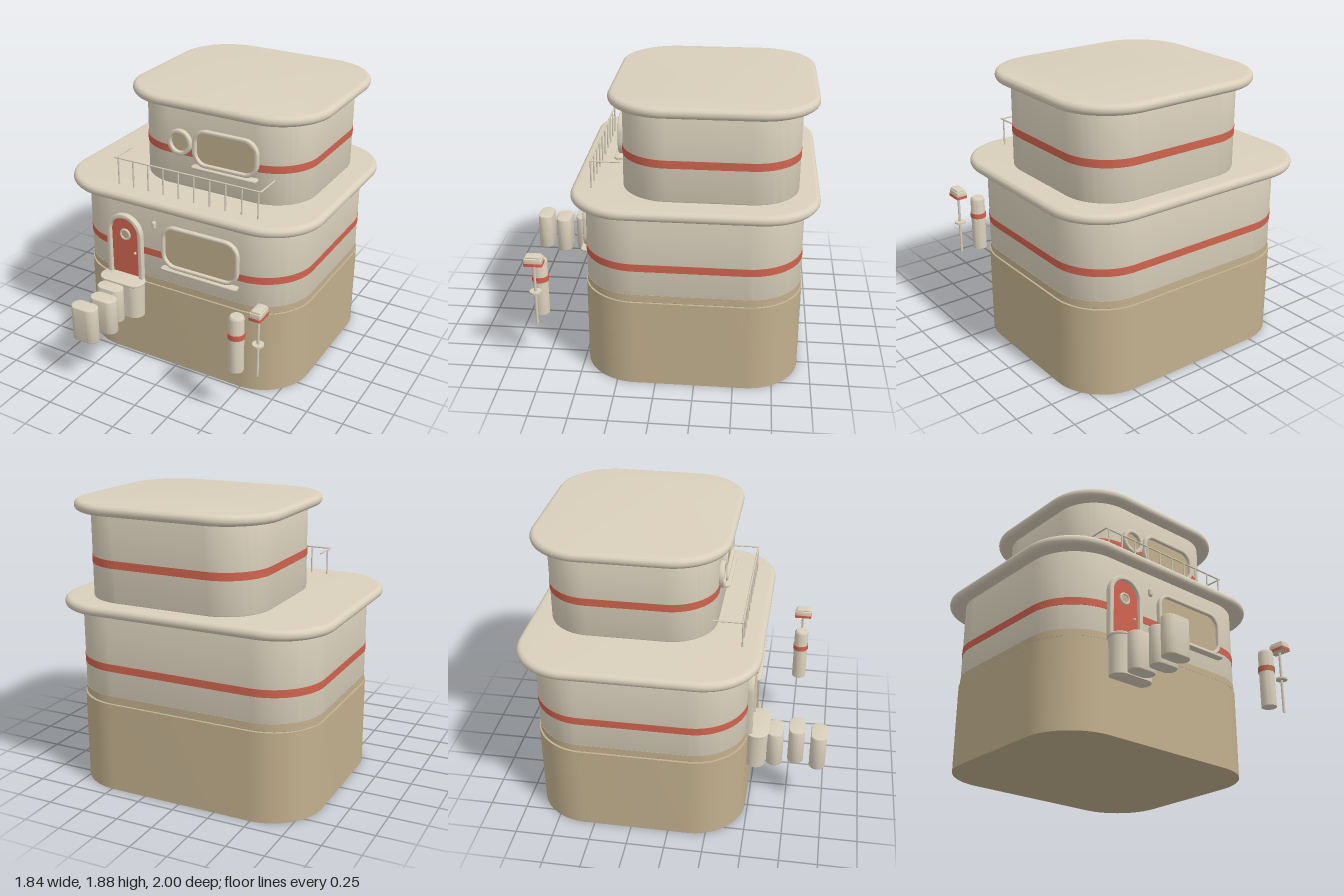
import * as THREE from 'three';
import { toCreasedNormals } from 'three/addons/utils/BufferGeometryUtils.js';

const mat = (name, color) => new THREE.MeshStandardMaterial({ name, color });

// Rounded rectangle outline between two corners
function roundRect(x0, y0, x1, y1, r, Type = THREE.Shape) {
  const s = new Type();
  s.moveTo(x0 + r, y0);
  s.lineTo(x1 - r, y0);
  s.absarc(x1 - r, y0 + r, r, -Math.PI / 2, 0);
  s.lineTo(x1, y1 - r);
  s.absarc(x1 - r, y1 - r, r, 0, Math.PI / 2);
  s.lineTo(x0 + r, y1);
  s.absarc(x0 + r, y1 - r, r, Math.PI / 2, Math.PI);
  s.lineTo(x0, y0 + r);
  s.absarc(x0 + r, y0 + r, r, Math.PI, Math.PI * 1.5);
  return s;
}

// Door outline: straight sides with a half-round head
function archShape(cx, y0, y1, r, Type = THREE.Shape) {
  const s = new Type();
  s.moveTo(cx - r, y0);
  s.lineTo(cx + r, y0);
  s.lineTo(cx + r, y1 - r);
  s.absarc(cx, y1 - r, r, 0, Math.PI);
  s.lineTo(cx - r, y0);
  return s;
}

// Extrusion from z0 to z1; the bevel stays inside the outline's depth range
function extrude(shape, z0, z1, bevel = 0, segments = 3, curveSegments = 12) {
  const g = new THREE.ExtrudeGeometry(shape, {
    depth: z1 - z0 - 2 * bevel, bevelEnabled: bevel > 0, bevelSize: bevel,
    bevelThickness: bevel, bevelOffset: -bevel, bevelSegments: segments, curveSegments,
  });
  g.translate(0, 0, z0 + bevel);
  return toCreasedNormals(g, 0.6);
}

// Upright block with a rounded plan; bounds are x0, x1, z0, z1
function block([x0, x1, z0, z1], r, y0, y1, bevel = 0, segments = 3) {
  return extrude(roundRect(x0, -z1, x1, -z0, r), y0, y1, bevel, segments).rotateX(-Math.PI / 2);
}

export function createModel() {
  const model = new THREE.Group();
  model.name = 'house';
  const cream = mat('cream plaster', 0xd9cfbb);
  const tan = mat('tan stone', 0xc2b08e);
  const red = mat('coral red', 0xd0644f);

  const add = (name, geometry, material, parent = model) => {
    const m = new THREE.Mesh(geometry, material);
    m.name = name;
    parent.add(m);
    return m;
  };
  const group = (name) => {
    const g = new THREE.Group();
    g.name = name;
    model.add(g);
    return g;
  };
  const grow = ([a, b, c, d], e) => [a - e, b + e, c - e, d + e];

  // Foundation and the two storeys with their painted bands
  const lower = [-0.832, 0.828, -0.91, 0.475];
  const upper = [-0.475, 0.745, -0.87, 0.235];
  add('foundation', block([-0.84, 0.835, -0.92, 0.482], 0.35, 0, 0.595), tan);
  add('lowerWalls', block(lower, 0.345, 0.595, 1.2, 0.01), cream);
  add('lowerPlinthBand', block(grow(lower, 0.002), 0.347, 0.605, 0.65), tan);
  add('lowerStripe', block(grow(lower, 0.003), 0.348, 0.815, 0.864), red);
  add('terraceSlab', block([-0.92, 0.916, -1, 0.555], 0.37, 1.19, 1.256, 0.032, 5), cream);
  add('upperWalls', block(upper, 0.3, 1.25, 1.82, 0.01), cream);
  add('upperStripe', block(grow(upper, 0.003), 0.303, 1.475, 1.525), red);
  add('roofSlab', block([-0.565, 0.836, -0.965, 0.32], 0.37, 1.81, 1.876, 0.032, 5), cream);

  // Rounded windows with frame, pane and sill
  function roundedWindow(name, x0, y0, x1, y1, z, r, t) {
    const g = group(name);
    const frame = roundRect(x0, y0, x1, y1, r);
    frame.holes.push(roundRect(x0 + t, y0 + t, x1 - t, y1 - t, r - t, THREE.Path));
    add('windowFrame', extrude(frame, z - 0.005, z + 0.03, 0.006), cream, g);
    add('windowPane', extrude(roundRect(x0 + t / 2, y0 + t / 2, x1 - t / 2, y1 - t / 2, r - t / 2),
      z, z + 0.006), tan, g);
    return g;
  }
  function sill(parent, x0, x1, y, z0, z1) {
    add('windowSill', block([x0, x1, z0, z1], 0.02, y - 0.008, y + 0.008, 0.004), cream, parent);
  }
  const w1 = roundedWindow('lowerWindow', -0.09, 0.77, 0.48, 1.08, 0.475, 0.1, 0.022);
  sill(w1, -0.09, 0.48, 0.763, 0.47, 0.527);
  const w2 = roundedWindow('upperWindow', 0.008, 1.425, 0.48, 1.683, 0.235, 0.1, 0.025);
  sill(w2, 0.008, 0.48, 1.421, 0.23, 0.288);
  roundedWindow('roundWindow', -0.179, 1.477, -0.003, 1.653, 0.235, 0.0879, 0.026);

  // Arched door with porthole and knob
  const door = group('door');
  const cx = -0.38;
  const doorFrame = archShape(cx, 0.605, 1.08, 0.137);
  doorFrame.holes.push(archShape(cx, 0.615, 1.052, 0.108, THREE.Path));
  add('doorFrame', extrude(doorFrame, 0.47, 0.512, 0.005), cream, door);
  add('doorLeaf', extrude(archShape(cx, 0.61, 1.06, 0.115), 0.475, 0.487), red, door);
  add('portholeRing', new THREE.TorusGeometry(0.034, 0.009, 10, 28), cream, door).position.set(cx, 0.927, 0.49);
  add('portholePane', new THREE.CylinderGeometry(0.03, 0.03, 0.008, 24).rotateX(Math.PI / 2), tan, door)
    .position.set(cx, 0.927, 0.488);
  add('doorKnob', new THREE.SphereGeometry(0.01, 12, 8), cream, door).position.set(-0.303, 0.804, 0.495);

  // Wall lamp beside the door
  add('wallLamp', new THREE.CapsuleGeometry(0.015, 0.03, 6, 14), cream).position.set(-0.152, 1.053, 0.485);

  // Terrace railing
  const railing = group('railing');
  const bar = (name, length, x, y, z, axis) => {
    const g = new THREE.CylinderGeometry(0.0055, 0.0055, length, 8);
    if (axis === 'x') g.rotateZ(Math.PI / 2);
    if (axis === 'z') g.rotateX(Math.PI / 2);
    add(name, g, cream, railing).position.set(x, y, z);
  };
  bar('frontRail', 1.07, 0.055, 1.44, 0.422, 'x');
  for (const x of [-0.478, 0.588]) bar('sideRail', 0.195, x, 1.44, 0.33, 'z');
  for (let i = 0; i < 10; i++) bar('railPost', 0.185, -0.457 + i * 0.1145, 1.347, 0.422, 'y');

  // Doorstep, tapering downward under a thin lip
  const steps = group('steps');
  const stepBody = block([-0.537, -0.218, 0.47, 0.615], 0.07, 0.36, 0.61);
  const p = stepBody.attributes.position;
  for (let i = 0; i < p.count; i++) {
    if (p.getY(i) < 0.4) {
      p.setX(i, -0.3775 + (p.getX(i) + 0.3775) * 0.95);
      p.setZ(i, 0.47 + (p.getZ(i) - 0.47) * 0.9);
    }
  }
  add('doorstep', stepBody, cream, steps);
  add('doorstepLip', block([-0.545, -0.21, 0.465, 0.62], 0.075, 0.607, 0.625, 0.006), cream, steps);

  // Stepping stones
  for (const [x, z] of [[-0.4, 0.66], [-0.355, 0.8], [-0.4, 0.947]])
    add('steppingStone', block([x - 0.094, x + 0.094, z - 0.053, z + 0.053], 0.0525, 0.36, 0.61, 0.006), cream, steps);

  // Banded bollard
  const bollard = group('bollard');
  bollard.position.set(0.62, 0, 0.77);
  const profile = [[0, 0.37], [0.05, 0.37], [0.05, 0.745], [0.047, 0.757], [0.038, 0.766], [0, 0.768]];
  add('bollardBody', toCreasedNormals(new THREE.LatheGeometry(
    profile.map(([r, y]) => new THREE.Vector2(r, y)), 28), 0.7), cream, bollard);
  add('bollardBand', new THREE.CylinderGeometry(0.055, 0.055, 0.036, 28), red, bollard).position.y = 0.628;

  // Mailbox on a post
  const mailbox = group('mailbox');
  mailbox.position.set(0.77, 0, 0.77);
  add('mailboxPost', new THREE.CylinderGeometry(0.009, 0.009, 0.43, 12), cream, mailbox).position.y = 0.587;
  add('mailboxCollar', new THREE.CylinderGeometry(0.038, 0.038, 0.012, 20), cream, mailbox).position.y = 0.605;
  add('mailboxBody', block([-0.037, 0.037, -0.058, 0.058], 0.008, 0.8, 0.855, 0.005), cream, mailbox);
  add('mailboxLid', block([-0.032, 0.032, -0.052, 0.052], 0.012, 0.85, 0.868, 0.008), cream, mailbox);
  add('mailboxStripe', block([-0.04, 0.04, -0.061, 0.061], 0.008, 0.803, 0.822), red, mailbox);

  return model;
}
